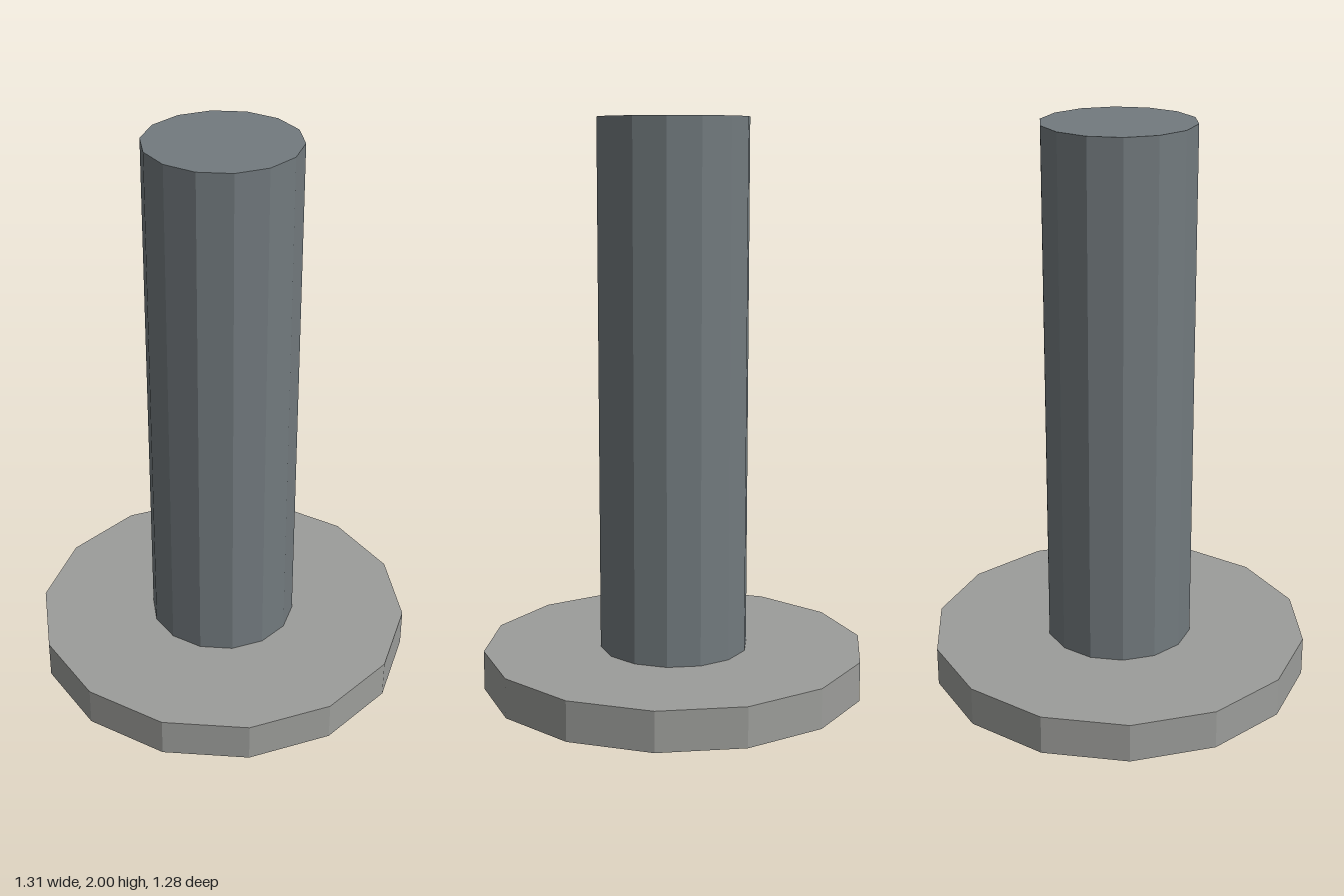
import * as THREE from 'three';

const SIDES = 14;

// Upright faceted cylinder between two heights, with corners on the x axis
function disc(name, radius, bottom, top, color) {
  const geometry = new THREE.CylinderGeometry(radius, radius, top - bottom, SIDES);
  geometry.rotateY(Math.PI / 2);
  const material = new THREE.MeshStandardMaterial({ color, flatShading: true });
  const mesh = new THREE.Mesh(geometry, material);
  mesh.name = name;
  mesh.position.y = (bottom + top) / 2;
  return mesh;
}

export function createModel() {
  const group = new THREE.Group();
  group.name = 'flangedPost';
  // Tall post running through a wide flange near its foot
  group.add(disc('post', 0.254, 0, 2, 0x727a7e));
  group.add(disc('flange', 0.655, 0.07, 0.205, 0x9c9d9a));
  return group;
}
